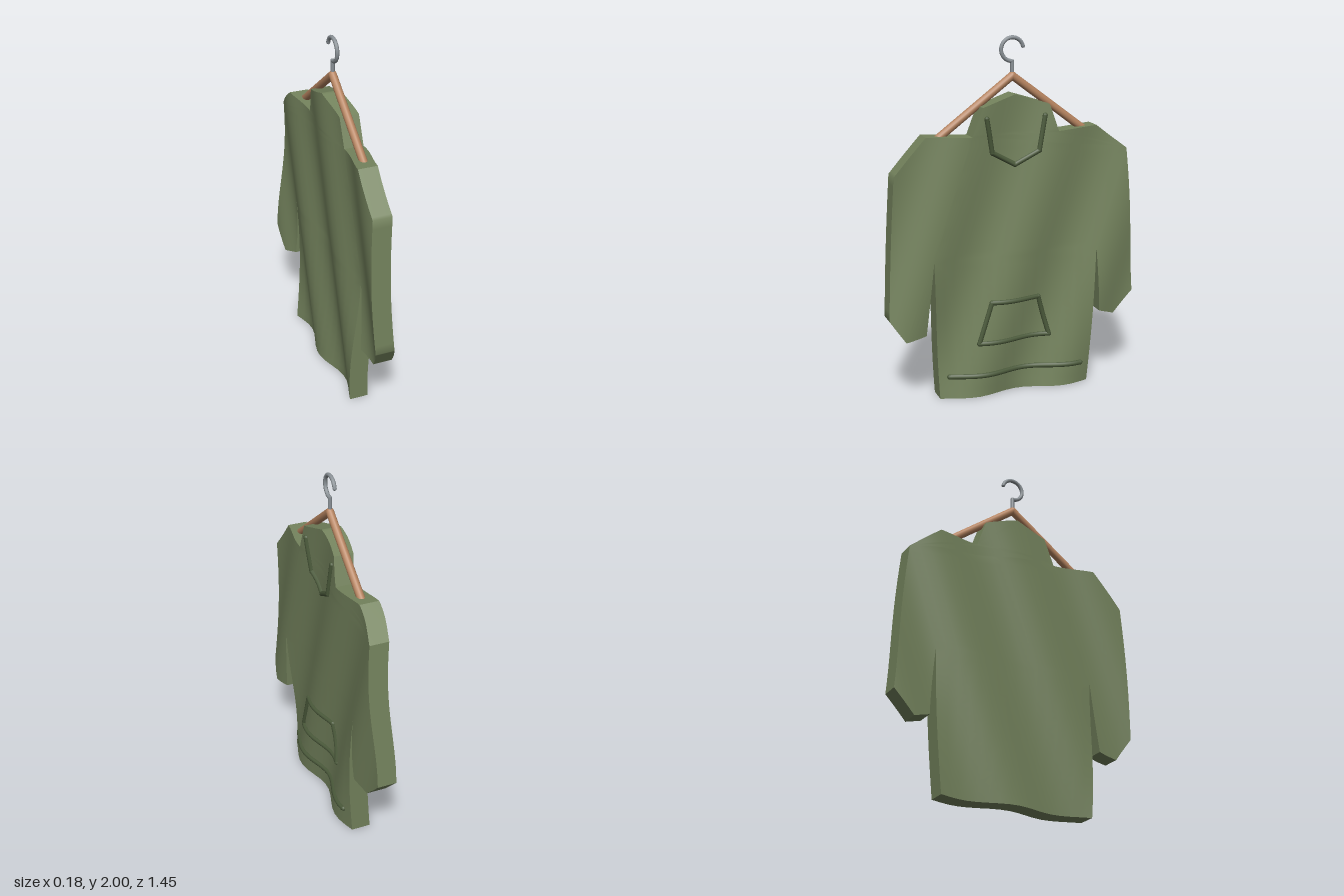
import * as THREE from 'three';
import { toCreasedNormals } from 'three/addons/utils/BufferGeometryUtils.js';

const mat = (name, color) => {
  const m = new THREE.MeshStandardMaterial({ color });
  m.name = name;
  return m;
};

// sideways ripple of the hanging cloth
const ripple = (y, z) => -0.008 + (0.029 - 0.009 * y) * Math.sin(12 * z + 4 * y - 1.3);
const HALF = 0.054;

// split every triangle in four, several times, so the flat caps can bend
function subdivide(geometry, levels) {
  let src = Array.from((geometry.index ? geometry.toNonIndexed() : geometry).attributes.position.array);
  for (let l = 0; l < levels; l++) {
    const out = [];
    for (let i = 0; i < src.length; i += 9) {
      const a = src.slice(i, i + 3), b = src.slice(i + 3, i + 6), c = src.slice(i + 6, i + 9);
      const mid = (p, q) => p.map((v, k) => (v + q[k]) / 2);
      const ab = mid(a, b), bc = mid(b, c), ca = mid(c, a);
      out.push(...a, ...ab, ...ca, ...ab, ...b, ...bc, ...ca, ...bc, ...c, ...ab, ...bc, ...ca);
    }
    src = out;
  }
  const g = new THREE.BufferGeometry();
  g.setAttribute('position', new THREE.Float32BufferAttribute(src, 3));
  return g;
}

function buildGarment() {
  // outline as [z, y]: hood, shoulder, sleeve, hem, and the other side back up
  const outline = [
    [0, 1.69], [0.19, 1.63], [0.25, 1.475], [0.5, 1.485], [0.68, 1.285], [0.725, 0.495],
    [0.64, 0.37], [0.52, 0.39], [0.475, 0.8], [0.44, 0], [-0.44, 0], [-0.48, 0.8],
    [-0.505, 0.42], [-0.605, 0.385], [-0.725, 0.51], [-0.655, 1.36], [-0.48, 1.495],
    [-0.245, 1.48], [-0.195, 1.63],
  ];
  const shape = new THREE.Shape(outline.map(([z, y]) => new THREE.Vector2(-z, y)));
  const raw = new THREE.ExtrudeGeometry(shape, { depth: HALF * 2, bevelEnabled: false });
  raw.translate(0, 0, -HALF).rotateY(Math.PI / 2);
  const g = subdivide(raw, 4);
  const p = g.attributes.position;
  for (let i = 0; i < p.count; i++) p.setX(i, p.getX(i) + ripple(p.getY(i), p.getZ(i)));
  return toCreasedNormals(g, 0.7);
}

// cord lying on the front of the cloth, through [z, y] points
function cord(name, points, radius, material, closed = false) {
  const group = new THREE.Group();
  group.name = name;
  const on = (z, y) => new THREE.Vector3(ripple(y, z) + HALF + 0.002, y, z);
  const add = (geometry) => {
    const m = new THREE.Mesh(geometry, material);
    m.name = name + 'Piece';
    group.add(m);
    return m;
  };
  points.forEach(([z, y], i) => {
    add(new THREE.SphereGeometry(radius, 10, 8)).position.copy(on(z, y));
    if (i === points.length - 1 && !closed) return;
    const [z2, y2] = points[(i + 1) % points.length];
    const n = 3 + Math.ceil(Math.hypot(z2 - z, y2 - y) / 0.05);
    const path = [];
    for (let k = 0; k <= n; k++) path.push(on(z + (z2 - z) * k / n, y + (y2 - y) * k / n));
    add(new THREE.TubeGeometry(new THREE.CatmullRomCurve3(path), n * 2, radius, 8));
  });
  return group;
}

export function createModel() {
  const cloth = mat('olive cloth', 0x74835d);
  const trim = mat('dark olive trim', 0x4b5a3b);
  const wood = mat('wood', 0xb5835f);
  const metal = mat('steel', 0x8a9196);

  const model = new THREE.Group();
  model.name = 'hoodieOnHanger';
  const add = (name, geometry, material) => {
    const m = new THREE.Mesh(geometry, material);
    m.name = name;
    model.add(m);
    return m;
  };

  add('garment', buildGarment(), cloth);

  // drawstring, front pocket and hem band
  model.add(cord('drawstring', [[0.168, 1.57], [0.133, 1.38], [0, 1.307], [-0.133, 1.38], [-0.168, 1.57]], 0.014, trim));
  model.add(cord('pocketEdge', [[0.145, 0.54], [-0.14, 0.54], [-0.205, 0.31], [0.22, 0.31]], 0.014, trim, true));
  model.add(cord('hemBand', [[0.385, 0.125], [-0.385, 0.125]], 0.015, trim));

  // hanger arms
  const apex = new THREE.Vector3(-0.01, 1.785, 0);
  for (const side of [1, -1]) {
    const end = new THREE.Vector3(-0.01, 1.455, 0.44 * side);
    const dir = end.clone().sub(apex);
    const arm = add(side > 0 ? 'frontHangerArm' : 'backHangerArm',
      new THREE.CapsuleGeometry(0.022, dir.length(), 5, 14), wood);
    arm.position.copy(apex).addScaledVector(dir, 0.5);
    arm.quaternion.setFromUnitVectors(new THREE.Vector3(0, 1, 0), dir.normalize());
  }

  // hook: open ring on a short stem
  const stem = add('hookStem', new THREE.CylinderGeometry(0.011, 0.011, 0.1, 12), metal);
  stem.position.set(-0.01, 1.82, 0);
  const sweep = Math.PI * 1.42;
  const ring = add('hookRing', new THREE.TorusGeometry(0.063, 0.011, 10, 32, sweep), metal);
  ring.rotation.set(0, Math.PI / 2, 0);
  ring.geometry.rotateZ(-Math.PI / 2 - sweep);
  ring.position.set(-0.01, 1.926, 0);
  const tip = add('hookTip', new THREE.SphereGeometry(0.011, 10, 8), metal);
  const a = -Math.PI / 2 - sweep;
  tip.position.set(-0.01, 1.926 + 0.063 * Math.sin(a), -0.063 * Math.cos(a));

  return model;
}
